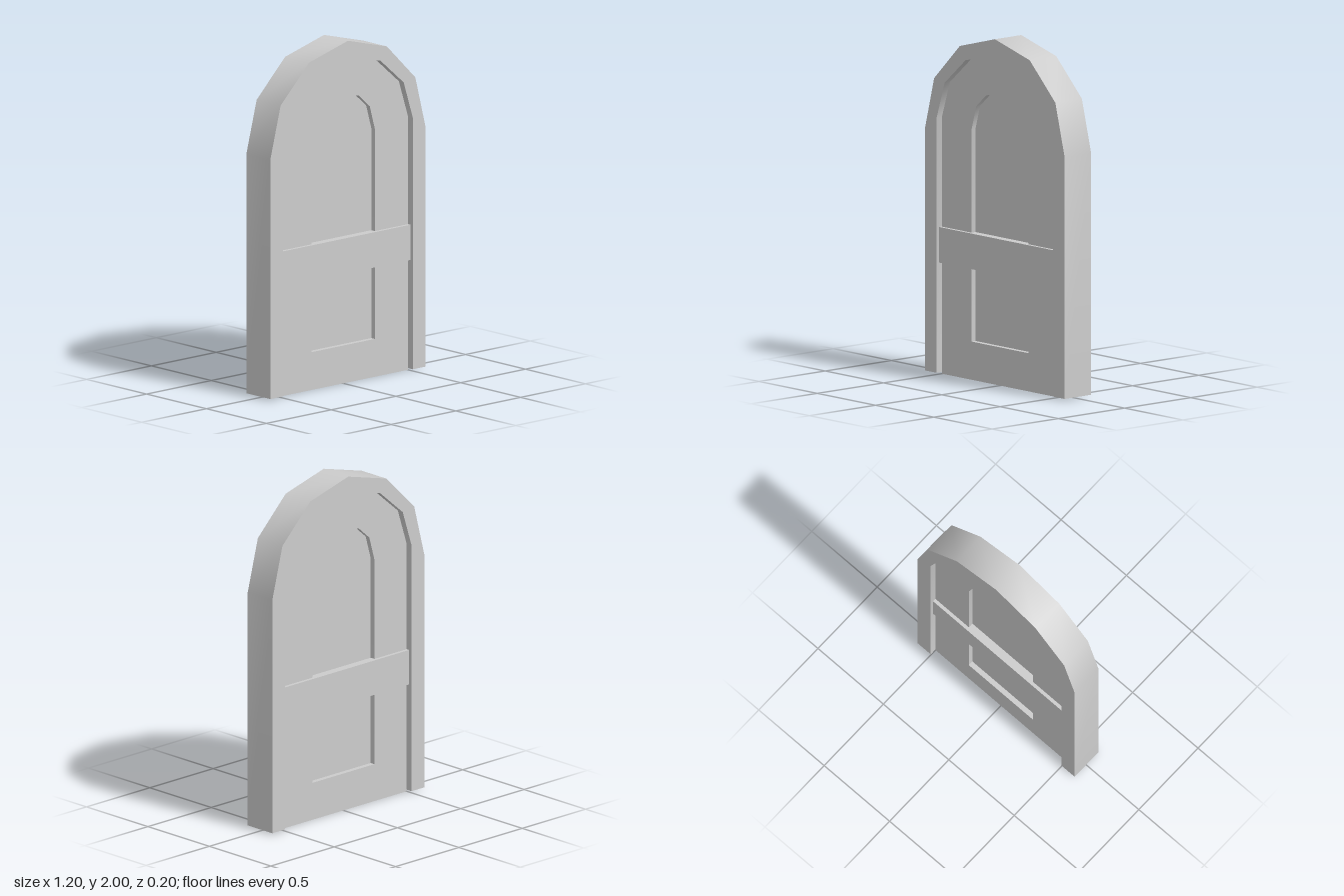
import * as THREE from 'three';
import { toCreasedNormals } from 'three/addons/utils/BufferGeometryUtils.js';

// Right half of each arch, from springing point to crown
const OUTER = [[0.6, 1.4], [0.52, 1.705], [0.3, 1.92], [0, 2]];
const INNER = [[0.5, 1.475], [0.43, 1.69], [0.25, 1.845], [0, 1.905]];
const PANEL = [[0.245, 1.44], [0.205, 1.58], [0.12, 1.655], [0, 1.68]];

// Full arched outline standing on the given bottom, counter-clockwise
function archPoints(half, bottom) {
  const right = [[half[0][0], bottom], ...half];
  const left = right.slice(0, -1).reverse().map(([x, y]) => [-x, y]);
  return [...right, ...left].map(([x, y]) => new THREE.Vector2(x, y));
}

// Extruded slab centred on z = 0, smooth around the arch and sharp at corners
function slab(shape, depth) {
  const geometry = new THREE.ExtrudeGeometry(shape, { depth, bevelEnabled: false });
  geometry.translate(0, 0, -depth / 2);
  return toCreasedNormals(geometry, 0.65);
}

export function createModel() {
  const group = new THREE.Group();
  group.name = 'archedDoor';
  const grey = new THREE.MeshStandardMaterial({ color: 0xcccccc });
  grey.name = 'grey';

  const add = (name, geometry) => {
    const mesh = new THREE.Mesh(geometry, grey);
    mesh.name = name;
    group.add(mesh);
    return mesh;
  };

  // Arched frame, open at the threshold
  const frame = new THREE.Shape([...archPoints(OUTER, 0.01), ...archPoints(INNER, 0.01).reverse()]);
  add('frame', slab(frame, 0.2));

  // Door leaf with an arched opening for the panel
  const leaf = new THREE.Shape(archPoints(INNER, 0));
  leaf.holes.push(new THREE.Path(archPoints(PANEL, 0.22).reverse()));
  add('doorLeaf', slab(leaf, 0.12));

  // Recessed panel, seen from both sides
  add('recessedPanel', slab(new THREE.Shape(archPoints(PANEL, 0.22)), 0.06));

  // Cross rail standing proud of the leaf on both sides
  add('crossRail', new THREE.BoxGeometry(1, 0.205, 0.16)).position.y = 0.745;

  return group;
}
